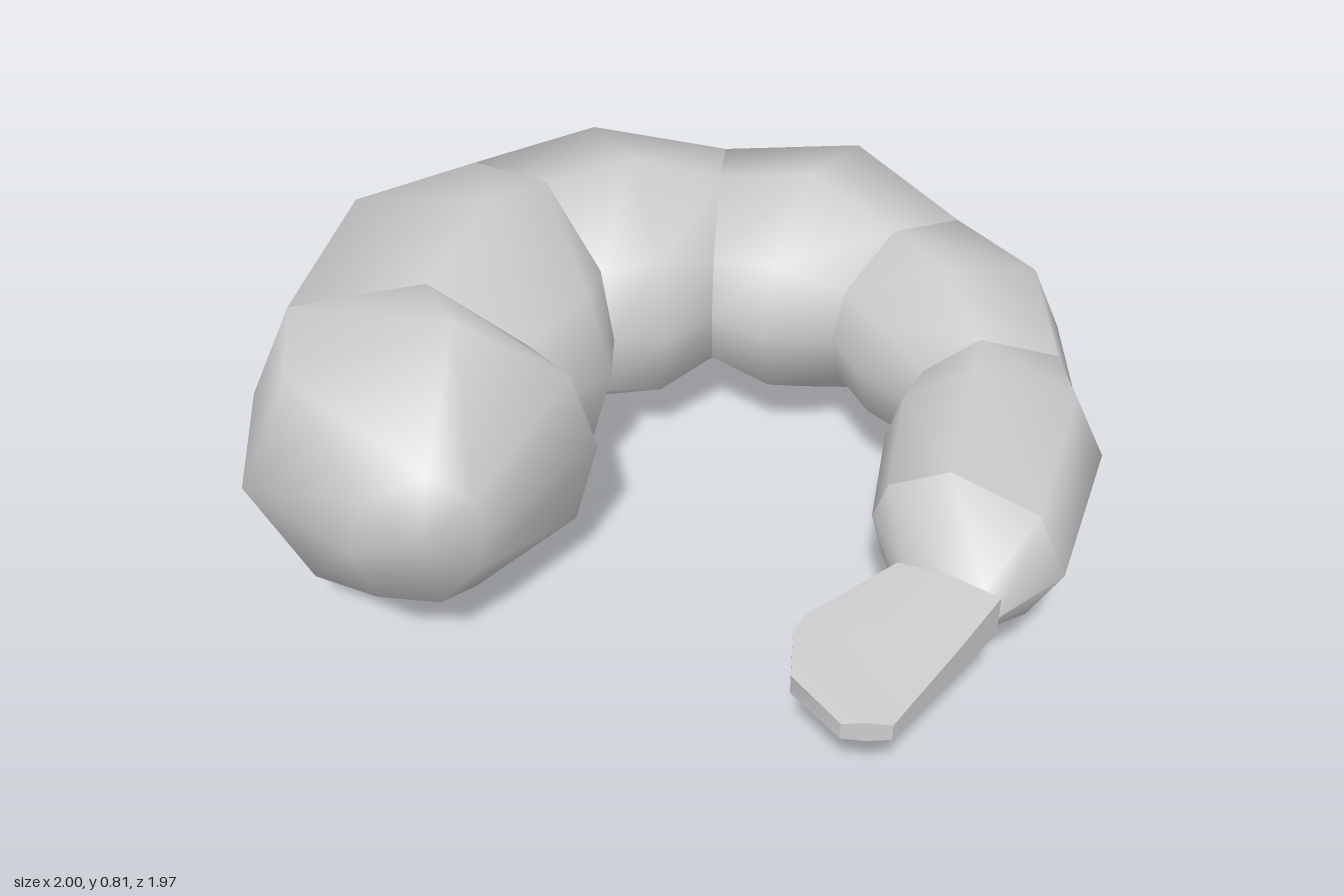
import * as THREE from 'three';
import { toCreasedNormals } from 'three/addons/utils/BufferGeometryUtils.js';

const MID_Y = 0.405;

// Cross-sections as [position from outer to inner edge, height factor]
const EGG = [[0, 0], [0.16, 0.75], [0.62, 1], [0.93, 0.54], [1, 0], [0.93, -0.54], [0.62, -1], [0.16, -0.75]];
const FLAT = [[0, 0], [0, 0.8], [0.5, 1], [1, 0.8], [1, 0], [1, -0.8], [0.5, -1], [0, -0.8]];

// Rings along the curled body: [outer x, outer z, inner x, inner z, half height]
const RINGS = [
  [-0.64, 0.565, -0.36, 0.475, 0.18],
  [-0.93, 0.37, -0.155, 0.15, 0.385],
  [-1.0, 0.02, -0.28, 0.02, 0.34],
  [-0.94, -0.44, -0.155, -0.125, 0.405],
  [-0.65, -0.77, -0.165, -0.275, 0.335],
  [-0.33, -0.985, -0.035, -0.295, 0.36],
  [0.07, -0.99, 0.07, -0.395, 0.28],
  [0.465, -0.985, 0.2, -0.32, 0.33],
  [0.74, -0.69, 0.375, -0.325, 0.24],
  [0.94, -0.44, 0.44, -0.2, 0.25],
  [0.96, -0.11, 0.56, -0.07, 0.19],
  [1.0, 0.08, 0.505, 0.05, 0.215],
  [0.88, 0.5, 0.475, 0.34, 0.185],
  [0.735, 0.635, 0.525, 0.545, 0.08],
];

const TAIL = [
  [0.735, 0.635, 0.525, 0.545, 0.065],
  [0.65, 0.767, 0.335, 0.705, 0.045],
  [0.625, 0.805, 0.315, 0.745, 0.04],
  [0.55, 0.92, 0.315, 0.865, 0.03],
  [0.515, 0.975, 0.415, 0.98, 0.025],
];

// Skin a run of rings; optional fans close the ends
function loft(rings, profile, capStart, capEnd) {
  const n = profile.length;
  const positions = [], index = [];
  for (const [ox, oz, ix, iz, h] of rings) {
    for (const [t, k] of profile) {
      positions.push(ox + (ix - ox) * t, MID_Y + h * k, oz + (iz - oz) * t);
    }
  }
  for (let i = 0; i < rings.length - 1; i++) {
    for (let j = 0; j < n; j++) {
      const a = i * n + j, b = i * n + (j + 1) % n;
      index.push(a, b, a + n, b, b + n, a + n);
    }
  }
  const cap = (r, flip) => {
    const [ox, oz, ix, iz] = rings[r];
    const c = positions.length / 3;
    positions.push((ox + ix) / 2, MID_Y, (oz + iz) / 2);
    for (let j = 0; j < n; j++) {
      const a = r * n + j, b = r * n + (j + 1) % n;
      if (flip) index.push(c, b, a);
      else index.push(c, a, b);
    }
  };
  if (capStart) cap(0, true);
  if (capEnd) cap(rings.length - 1, false);
  const geometry = new THREE.BufferGeometry();
  geometry.setAttribute('position', new THREE.Float32BufferAttribute(positions, 3));
  geometry.setIndex(index);
  geometry.computeVertexNormals();
  return geometry;
}

export function createModel() {
  const group = new THREE.Group();
  group.name = 'shrimp';
  const material = new THREE.MeshStandardMaterial({ color: 0xcccccc, side: THREE.DoubleSide });
  const add = (name, geometry) => {
    const mesh = new THREE.Mesh(geometry, material);
    mesh.name = name;
    group.add(mesh);
  };

  // Head and shell segments, each bulging between two shared crease rings
  add('head', loft(RINGS.slice(0, 3), EGG, true, false));
  for (let i = 2, s = 1; i < RINGS.length - 1; i += 2, s++) {
    const last = i + 3 >= RINGS.length;
    add('shellSegment' + s, loft(RINGS.slice(i, last ? RINGS.length : i + 3), EGG, false, last));
    if (last) break;
  }

  // Thin flat tail fin
  add('tailFin', toCreasedNormals(loft(TAIL, FLAT, true, true), 0.8));
  return group;
}
